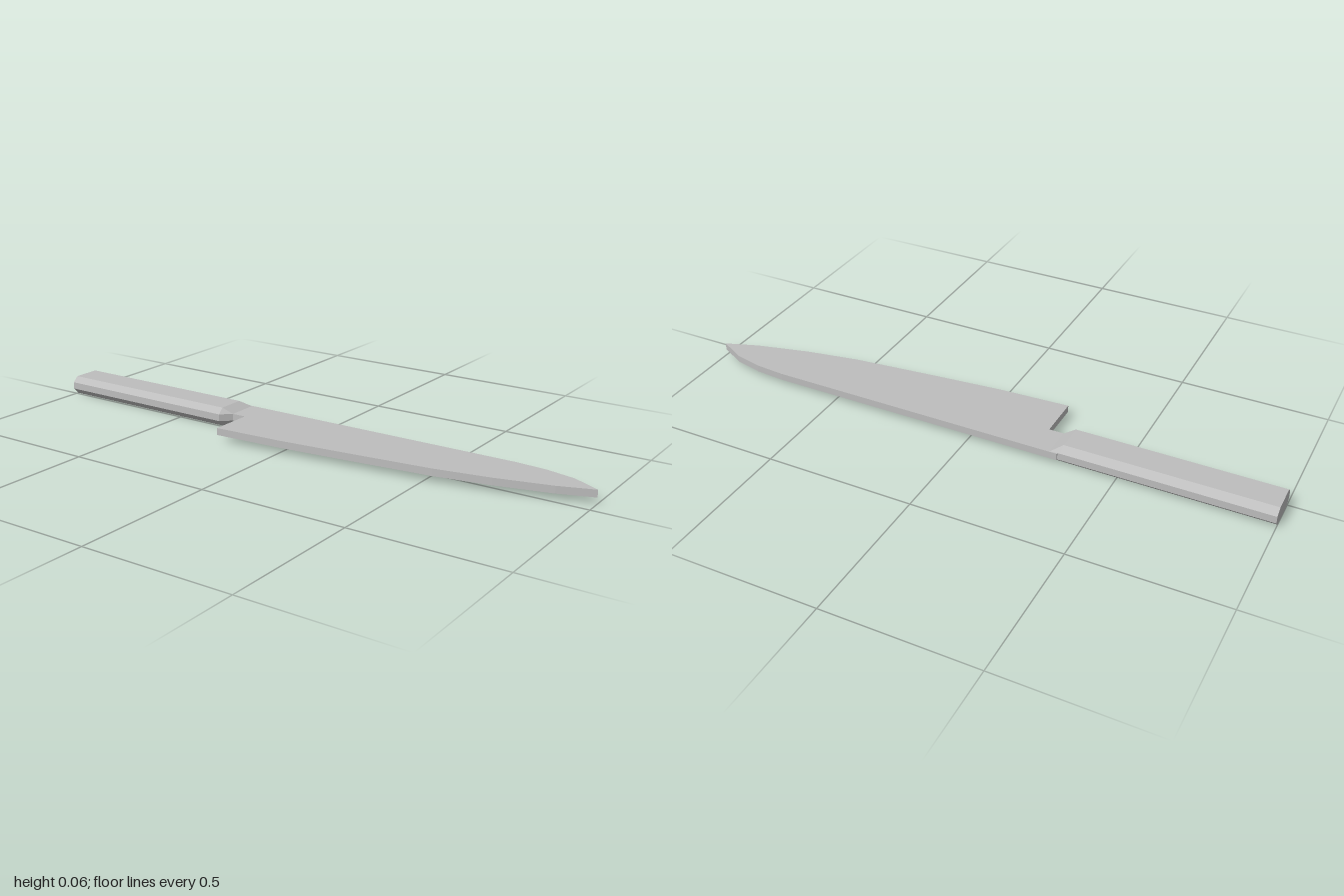
import * as THREE from 'three';

const steel = new THREE.MeshStandardMaterial({ color: 0xbdbdbd, flatShading: true });
steel.name = 'steel grey';

// Flat blade with a notched heel, extruded upward from its plan outline [x, z]
function makeBlade() {
  const outline = [
    [-0.31, -0.13], [-0.31, -0.02], [-0.235, -0.02], [-0.235, 0.13],
    [0.005, 0.117], [0.245, 0.094], [0.53, 0.064], [0.71, 0.032], [0.888, -0.012],
    [1, -0.052], [0.91, -0.1], [0.813, -0.122], [0.71, -0.13],
  ];
  const shape = new THREE.Shape(outline.map(([x, z]) => new THREE.Vector2(x, -z)));
  const geometry = new THREE.ExtrudeGeometry(shape, { depth: 0.024, bevelEnabled: false });
  geometry.rotateX(-Math.PI / 2).translate(0, 0.021, 0);
  const mesh = new THREE.Mesh(geometry, steel);
  mesh.name = 'blade';
  return mesh;
}

// Eight-sided section: a full width with a narrower flat on top and bottom
function section(x, back, front, flatBack, flatFront, bottom, top) {
  const low = 0.021, high = 0.045;
  return [
    [flatBack, top], [flatFront, top], [front, high], [front, low],
    [flatFront, bottom], [flatBack, bottom], [back, low], [back, high],
  ].map(([z, y]) => [x, y, z]);
}

// Bevelled handle, tapering to the blade's thickness at its front end
function makeHandle() {
  const rings = [
    section(-1, -0.125, 0.012, -0.102, -0.008, 0, 0.064),
    section(-0.32, -0.125, 0.012, -0.102, -0.008, 0, 0.064),
    section(-0.285, -0.127, -0.02, -0.127, -0.02, 0.021, 0.045),
  ];
  const positions = [];
  const face = (...corners) => corners.forEach((p) => positions.push(...p));
  for (let r = 0; r < rings.length - 1; r++) {
    for (let i = 0; i < 8; i++) {
      const j = (i + 1) % 8;
      const a = rings[r][i], b = rings[r][j], c = rings[r + 1][j], d = rings[r + 1][i];
      face(a, b, c);
      face(a, c, d);
    }
  }
  // End caps
  const butt = rings[0], tip = rings[rings.length - 1];
  for (let i = 1; i < 7; i++) {
    face(butt[0], butt[i + 1], butt[i]);
    face(tip[0], tip[i], tip[i + 1]);
  }
  const geometry = new THREE.BufferGeometry();
  geometry.setAttribute('position', new THREE.Float32BufferAttribute(positions, 3));
  geometry.computeVertexNormals();
  const mesh = new THREE.Mesh(geometry, steel);
  mesh.name = 'handle';
  return mesh;
}

export function createModel() {
  const knife = new THREE.Group();
  knife.name = 'knife';
  knife.add(makeBlade(), makeHandle());
  return knife;
}
